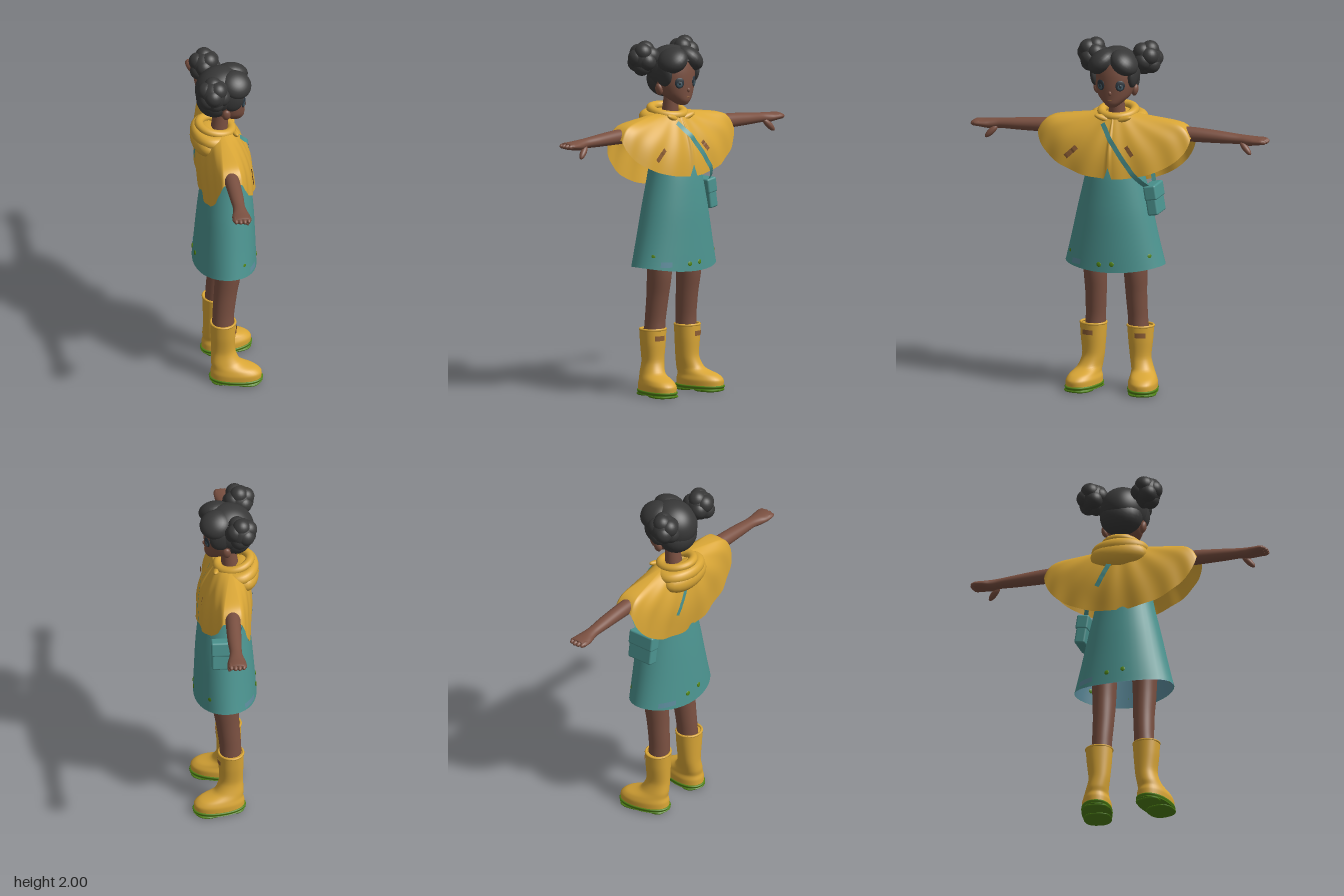
import * as THREE from 'three';
import { RoundedBoxGeometry } from 'three/addons/geometries/RoundedBoxGeometry.js';

const mat = (name, color, side = THREE.FrontSide) => {
  const m = new THREE.MeshStandardMaterial({ color, side });
  m.name = name;
  return m;
};

export function createModel() {
  const skin = mat('skin', 0x7a5041);
  const hair = mat('hair', 0x383838, THREE.DoubleSide);
  const yellow = mat('yellow', 0xd9a636, THREE.DoubleSide);
  const teal = mat('teal', 0x4c9490, THREE.DoubleSide);
  const lining = mat('lining', 0x5d8d9e, THREE.DoubleSide);
  const green = mat('green', 0x4f8215);
  const eyeDark = mat('eye dark', 0x2a343c);
  const iris = mat('iris', 0x435b67);
  const brown = mat('brown', 0x8f5f35, THREE.DoubleSide);

  const model = new THREE.Group();
  const body = new THREE.Group();      // built facing +z, turned to face +x
  body.name = 'girl';
  body.rotation.y = Math.PI / 2;
  model.add(body);

  const add = (name, geo, material, pos = [0, 0, 0], rot = [0, 0, 0], scale = [1, 1, 1], parent = body) => {
    const m = new THREE.Mesh(geo, material);
    m.name = name;
    m.position.set(...pos);
    m.rotation.set(...rot);
    m.scale.set(...scale);
    parent.add(m);
    return m;
  };
  const ball = (name, material, pos, radii, rot, parent = body) =>
    add(name, new THREE.SphereGeometry(1, 24, 16), material, pos, rot, radii, parent);

  // Grid surface from a point function; wraps in j when closed
  const grid = (rows, cols, fn, closed) => {
    const pos = [], idx = [], w = closed ? cols : cols + 1;
    for (let i = 0; i <= rows; i++)
      for (let j = 0; j < w; j++) pos.push(...fn(i / rows, j / cols));
    for (let i = 0; i < rows; i++)
      for (let j = 0; j < cols; j++) {
        const a = i * w + j, b = i * w + (j + 1) % w;
        idx.push(a, b, b + w, a, b + w, a + w);
      }
    const g = new THREE.BufferGeometry();
    g.setAttribute('position', new THREE.Float32BufferAttribute(pos, 3));
    g.setIndex(idx);
    g.computeVertexNormals();
    return g;
  };

  // Loft of ellipses, rows [along, c1, c2, r1, r2] rising along y (c1 = x, c2 = z) or x (c1 = y, c2 = z)
  const loft = (rows, { axis = 'y', cap = true, power = 1, hem = 0 } = {}) => {
    const first = rows[0], last = rows[rows.length - 1];
    const all = cap
      ? [[...first.slice(0, 3), 1e-4, 1e-4], ...rows, [...last.slice(0, 3), 1e-4, 1e-4]] : rows;
    const c = new THREE.CatmullRomCurve3(all.map(r => new THREE.Vector3(r[0], r[1], r[2])), false, 'catmullrom', 0.4);
    const r = new THREE.CatmullRomCurve3(all.map(q => new THREE.Vector3(q[3], q[4], 0)), false, 'catmullrom', 0.4);
    const f = v => Math.sign(v) * Math.abs(v) ** power;
    return grid((all.length - 1) * 5, 40, (t, v) => {
      const p = c.getPoint(t), q = r.getPoint(t), a = v * Math.PI * 2;
      const s = f(Math.sin(a)), k = f(Math.cos(a));
      return axis === 'y'
        ? [p.y + q.x * s, p.x + hem * s * s * (1 - t) ** 4, p.z + q.y * k]
        : [p.x, p.y + q.x * k, p.z + q.y * s];
    }, true);
  };

  const MID = -0.017;
  const sides = [['right', -1], ['left', 1]];

  // Dress with open hem and a lining just inside it
  const dressRows = [
    [0.705, MID, 0, 0.288, 0.178], [0.85, MID, 0.003, 0.256, 0.17], [1.05, MID, 0.007, 0.213, 0.157],
    [1.25, MID, 0.008, 0.168, 0.135], [1.42, MID, 0, 0.145, 0.1], [1.52, MID, -0.015, 0.12, 0.075],
    [1.57, MID, -0.025, 0.06, 0.05]];
  add('dress', loft(dressRows, { cap: false, hem: 0.03 }), teal);
  add('dressLining', loft(dressRows.map(([y, x, z, a, b]) => [y, x, z, a - 0.004, b - 0.004]), { cap: false, hem: 0.03 }), lining);

  // Printed dots and patches near the hem
  const onDress = (a, y, lift = 0) => [
    MID + (0.288 - (y - 0.705) * 0.22 + lift) * Math.sin(a), y, (0.178 - (y - 0.705) * 0.04 + lift) * Math.cos(a)];
  const zAxis = new THREE.Vector3(0, 0, 1);
  for (const [a, y] of [[-1.12, 0.8], [-0.17, 0.75], [0.1, 0.755], [1, 0.8], [2.95, 0.775], [3.3, 0.785]]) {
    const normal = new THREE.Vector3(Math.sin(a) / 0.27, 0.8, Math.cos(a) / 0.175).normalize();
    ball('hemDot', green, onDress(a, y), [0.014, 0.014, 0.004]).quaternion.setFromUnitVectors(zAxis, normal);
  }
  for (const [a, w] of [[2.4, 0.22], [-0.75, 0.14]])
    add('hemPatch', grid(3, 10, (t, v) => onDress(a + (v - 0.5) * 2 * w, 0.737 + 0.03 * t, 0.005)), lining);

  // Legs and boots
  for (const [side, s] of sides) {
    const x = MID + s * 0.118, o = s * 0.018;
    add(side + 'Leg', loft([
      [0.3, x + s * 0.012, -0.027, 0.054, 0.058], [0.42, x + s * 0.005, -0.024, 0.056, 0.061],
      [0.56, x, -0.01, 0.06, 0.066], [0.7, x, 0.004, 0.066, 0.075], [0.95, x, 0.005, 0.07, 0.078]]), skin);

    const boot = new THREE.Group();
    boot.name = side + 'Boot';
    boot.position.set(MID + s * 0.138, 0, -0.028);
    boot.rotation.y = s * 0.22;
    body.add(boot);
    const part = (name, geo, material, pos, rot, scale) => add(name, geo, material, pos, rot, scale, boot);
    part('bootUpper', loft([
      [0.032, o, 0.073, 0.083, 0.144], [0.065, o, 0.073, 0.083, 0.143], [0.092, o, 0.06, 0.074, 0.124],
      [0.125, o * 0.7, 0.016, 0.064, 0.084], [0.19, 0, 0, 0.06, 0.067], [0.29, 0, 0, 0.07, 0.069],
      [0.375, 0, 0, 0.076, 0.071]], { cap: false, power: 0.9 }), yellow);
    part('bootRim', new THREE.TorusGeometry(0.068, 0.007, 10, 40).rotateX(Math.PI / 2), yellow, [0, 0.37, 0], [0, 0, 0], [1.07, 1, 1]);
    part('bootTopFill', new THREE.CylinderGeometry(0.07, 0.07, 0.008, 32), yellow, [0, 0.358, 0]);
    part('bootSole', loft([[0.01, o, 0.073, 0.08, 0.14], [0.016, o, 0.073, 0.083, 0.144], [0.034, o, 0.073, 0.083, 0.144]],
      { power: 0.9 }), green);
    for (const [name, z, rx, rz] of [['heelTread', -0.012, 0.066, 0.05], ['toeTread', 0.133, 0.074, 0.076]])
      part(name, loft([[0, o, z, rx - 0.004, rz - 0.004], [0.012, o, z, rx, rz]], { power: 0.8 }), green);
    part('bootPatch', new THREE.CylinderGeometry(0.077, 0.076, 0.028, 10, 1, true, -0.42, 0.84), brown, [0, 0.323, 0]);
  }

  // Arms, fingers and thumbs
  for (const [side, s] of sides) {
    const rows = [[0.08, 1.485, -0.025, 0.038, 0.045], [0.3, 1.487, -0.025, 0.042, 0.044], [0.45, 1.486, -0.025, 0.041, 0.042],
      [0.6, 1.481, -0.025, 0.034, 0.039], [0.7, 1.477, -0.027, 0.028, 0.034], [0.75, 1.472, -0.028, 0.029, 0.041],
      [0.79, 1.472, -0.03, 0.025, 0.05], [0.845, 1.475, -0.03, 0.018, 0.05]].map(r => [s * r[0], ...r.slice(1)]);
    add(side + 'Arm', loft(s > 0 ? rows : rows.reverse(), { axis: 'x' }), skin);
    [0.864, 0.87, 0.869, 0.862].forEach((tip, i) =>
      ball(side + 'Finger', skin, [s * (tip - 0.035), 1.474, 0.005 - i * 0.0235], [0.035, 0.016, 0.015], [0, 0, -s * 0.05]));
    ball(side + 'Thumb', skin, [s * 0.743, 1.434, 0.003], [0.018, 0.049, 0.018], [-0.3, 0, s * 0.75]);
  }

  // Cape: t runs around the neck from the left arm over the front, s runs from neck to edge
  const capePoint = (t, s) => {
    const c = Math.cos(t), n = Math.sin(t), a = Math.abs(n), w = c * c, front = n >= 0;
    const slit = front ? 0.065 * Math.max(0, 1 - Math.abs(c) / 0.05) : 0;
    const edgeY = 1.475 - (front ? 0.235 : 0.305) * a + slit;
    const edgeZ = front ? -0.02 + 0.08 * a ** 0.14 + 0.1 * a * a : -0.02 - 0.085 * a ** 0.14 - 0.03 * a;
    const drop = (1 - w) * s + w * (0.42 * s + 0.58 * s ** 12);
    const ripple = 0.006 * Math.sin(t * 14) * s * a;
    return [MID + c * (0.08 + 0.365 * s), 1.592 + (edgeY - 1.592) * drop,
      (-0.03 + 0.075 * n) * (1 - s) + edgeZ * s + 0.028 * n * Math.sin(Math.PI * s) + ripple];
  };
  add('cape', grid(36, 240, (s, v) => capePoint(-v * Math.PI * 2, 1 - s), true), yellow);

  // Hood folded behind the neck
  const ring = (R, r) => new THREE.TorusGeometry(R, r, 16, 48).rotateX(Math.PI / 2);
  add('hoodCollar', ring(0.085, 0.023), yellow, [MID, 1.592, -0.05], [0.2, 0, 0], [1.1, 1, 1.1]);
  add('hoodFold', ring(0.108, 0.036), yellow, [MID, 1.555, -0.075], [0.1, 0, 0], [1.15, 1, 0.8]);
  ball('hoodBag', yellow, [MID, 1.518, -0.105], [0.165, 0.08, 0.086]);
  for (const [side, s] of sides)
    ball(side + 'CollarFlap', yellow, [MID + s * 0.055, 1.563, 0.05], [0.055, 0.016, 0.02], [0.5, 0, s * 0.35]);

  // Straight strips laid on the cape: depth comes from the nearest cape point
  const capeZ = (x, y, dir) => {
    let best = 1, z = 0;
    for (let i = 1; i < 80; i++)
      for (let j = 0; j <= 50; j++) {
        const p = capePoint(dir * i * Math.PI / 80, j / 50), d = Math.hypot(p[0] - x, p[1] - y);
        if (d < best) [best, z] = [d, p[2]];
      }
    return z;
  };
  const onCape = ([x0, y0], [x1, y1], dir, lift = 0.012) => Array.from({ length: 8 }, (_, i) => {
    const x = x0 + (x1 - x0) * i / 7, y = y0 + (y1 - y0) * i / 7;
    return [x, y, capeZ(x, y, dir) + dir * lift];
  });
  const ribbon = (name, points, width, material) => {
    const curve = new THREE.CatmullRomCurve3(points.map(p => new THREE.Vector3(...p)));
    add(name, grid(40, 1, (t, v) => {
      const p = curve.getPoint(t), d = curve.getTangent(t), l = Math.hypot(d.x, d.y) || 1, o = (v - 0.5) * width;
      return [p.x - d.y / l * o, p.y + d.x / l * o, p.z];
    }), material);
  };
  ribbon('frontStrap', [...onCape([-0.07, 1.54], [0.125, 1.275], 1), [0.165, 1.222, 0.115], [0.195, 1.18, 0.06]], 0.028, teal);
  ribbon('backStrap', onCape([0.025, 1.46], [0.1, 1.325], -1), 0.028, teal);
  ribbon('backStrapLower', [[0.195, 1.18, -0.05], [0.165, 1.27, -0.09], [0.12, 1.36, -0.105]], 0.026, teal);
  ribbon('rightCapeMark', onCape([-0.275, 1.345], [-0.21, 1.405], 1, 0.008), 0.028, brown);
  ribbon('leftCapeMark', onCape([0.08, 1.425], [0.12, 1.375], 1, 0.008), 0.024, brown);

  // Shoulder bag
  const bag = new THREE.Group();
  bag.name = 'bag';
  bag.position.set(0.213, 1.11, 0.005);
  bag.rotation.z = 0.16;
  body.add(bag);
  for (const [name, size, pos] of [['bagBody', [0.062, 0.165, 0.16], [0, 0, 0]], ['bagFlap', [0.072, 0.085, 0.166], [0.002, 0.046, 0]]])
    add(name, new RoundedBoxGeometry(...size, 3, 0.011), teal, pos, [0, 0, 0], [1, 1, 1], bag);

  // Head
  const head = new THREE.Group();
  head.name = 'head';
  head.position.x = MID;
  body.add(head);
  add('neck', new THREE.CylinderGeometry(0.04, 0.052, 0.18, 28), skin, [0, 1.61, -0.025], [0.1, 0, 0], [1, 1, 1], head);
  add('face', loft([
    [1.636, 0, 0.065, 0.022, 0.028], [1.662, 0, 0.048, 0.056, 0.064], [1.7, 0, 0.02, 0.093, 0.095],
    [1.76, 0, 0, 0.117, 0.118], [1.83, 0, -0.01, 0.124, 0.126], [1.9, 0, -0.012, 0.11, 0.112],
    [1.95, 0, -0.015, 0.06, 0.06]]), skin, [0, 0, 0], [0, 0, 0], [1, 1, 1], head);
  ball('nose', skin, [0, 1.722, 0.113], [0.01, 0.014, 0.012], [0.3, 0, 0], head);
  ball('mouth', brown, [0, 1.682, 0.113], [0.013, 0.003, 0.004], [0, 0, 0], head);
  for (const [side, s] of sides) {
    ball(side + 'Ear', skin, [s * 0.112, 1.725, -0.005], [0.018, 0.034, 0.024], [0, 0, -s * 0.2], head);
    const eye = (name, material, y, w, h, depth) =>
      ball(side + name, material, [s * 0.0565, y, 0.1015], [w, h, depth], [0, s * 0.5, 0], head);
    eye('Eye', eyeDark, 1.766, 0.027, 0.031, 0.0065);
    eye('Iris', iris, 1.759, 0.02, 0.021, 0.0085);
    eye('Pupil', eyeDark, 1.763, 0.011, 0.014, 0.0105);
  }

  // Hair cap, parted fringe, side locks and two curly buns
  add('hairCap', new THREE.SphereGeometry(1, 40, 24, 0, Math.PI * 2, 0, Math.PI * 0.61).rotateX(-0.78), hair,
    [0, 1.828, -0.017], [0, 0, 0], [0.134, 0.138, 0.147], head);
  ball('napeHair', hair, [0, 1.772, -0.058], [0.121, 0.102, 0.1], [0, 0, 0], head);
  for (const [side, s] of sides) {
    ball(side + 'Fringe', hair, [s * 0.065, 1.89, 0.055], [0.086, 0.06, 0.09], [0.2, 0, -s * 0.65], head);
    ball(side + 'SideLock', hair, [s * 0.11, 1.815, 0.03], [0.026, 0.07, 0.06], [0, 0, -s * 0.06], head);
    const bun = new THREE.Group();
    bun.name = side + 'Bun';
    bun.position.set(s * 0.158, 1.898, -0.085);
    head.add(bun);
    ball('bunCore', hair, [0, 0, 0], [0.08, 0.085, 0.078], [0, 0, 0], bun);
    for (let i = 0; i < 10; i++) {
      const y = 1 - (2 * i + 1) / 10, r = Math.sqrt(1 - y * y), a = i * 2.4;
      ball('bunCurl', hair, [0.042 * r * Math.cos(a), 0.05 * y, 0.044 * r * Math.sin(a)], [0.051, 0.052, 0.051], [0, 0, 0], bun);
    }
  }
  return model;
}
